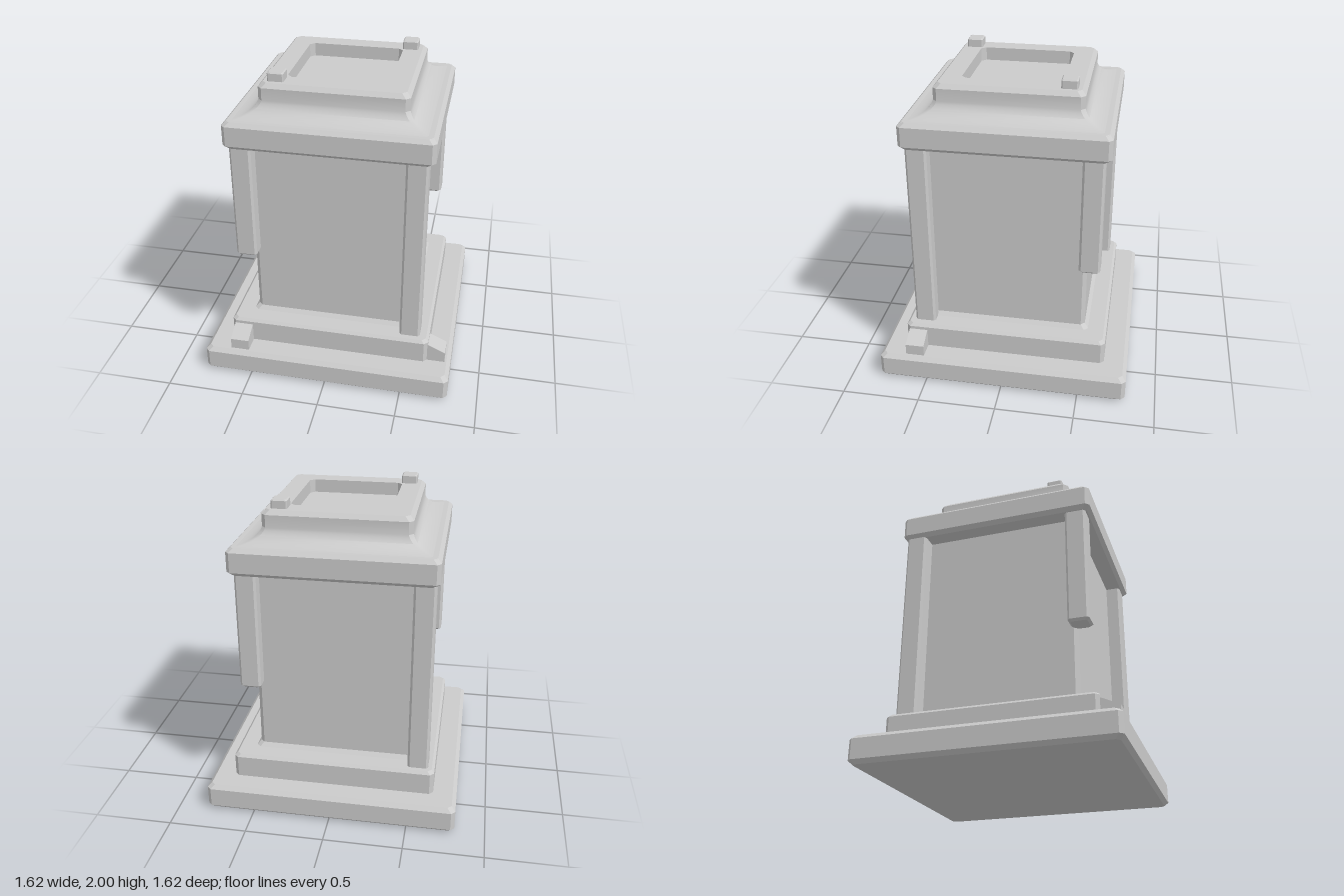
import * as THREE from 'three';
import { toCreasedNormals } from 'three/addons/utils/BufferGeometryUtils.js';

const material = new THREE.MeshStandardMaterial({ color: 0xcccccc });

// Stack of square rings with clipped corners; each ring is [half width, corner clip, y], bottom to top.
function loft(name, rings, x = 0, z = 0) {
  const pos = [], index = [];
  for (const [h, c, y] of rings) {
    const k = h - c;
    for (const [px, pz] of [[h, -k], [h, k], [k, h], [-k, h], [-h, k], [-h, -k], [-k, -h], [k, -h]]) {
      pos.push(px, y, pz);
    }
  }
  const last = (rings.length - 1) * 8;
  for (let r = 0; r < last; r += 8) {
    for (let i = 0; i < 8; i++) {
      const a = r + i, b = r + (i + 1) % 8;
      index.push(a, a + 8, b, b, a + 8, b + 8);
    }
  }
  // End caps
  for (let i = 1; i < 7; i++) {
    index.push(0, i, i + 1, last, last + i + 1, last + i);
  }
  const geo = new THREE.BufferGeometry();
  geo.setAttribute('position', new THREE.Float32BufferAttribute(pos, 3));
  geo.setIndex(index);
  const mesh = new THREE.Mesh(toCreasedNormals(geo, 0.5), material);
  mesh.name = name;
  mesh.position.set(x, 0, z);
  return mesh;
}

// Square block with bevelled edges
function block(name, half, y0, y1, bevel, x, z) {
  return loft(name, [
    [half - bevel, bevel, y0], [half, bevel, y0 + bevel],
    [half, bevel, y1 - bevel], [half - bevel, bevel, y1],
  ], x, z);
}

// Small sloped foot leaning against the plinth, running out along +z
function foot(name) {
  const side = new THREE.Shape([[0.6, 0.17], [0.77, 0.17], [0.77, 0.247], [0.66, 0.298], [0.6, 0.298]]
    .map(([a, b]) => new THREE.Vector2(a, b)));
  const geo = new THREE.ExtrudeGeometry(side, { depth: 0.12, bevelEnabled: false });
  geo.rotateY(-Math.PI / 2);
  geo.translate(-0.515, 0, 0);
  const mesh = new THREE.Mesh(geo, material);
  mesh.name = name;
  return mesh;
}

export function createModel() {
  const model = new THREE.Group();
  model.name = 'pedestal';

  // Stepped base
  model.add(block('baseSlab', 0.808, 0, 0.175, 0.025));
  model.add(loft('plinth', [[0.657, 0.025, 0.17], [0.657, 0.025, 0.318], [0.64, 0.025, 0.335]]));

  // Shaft with a flared foot
  model.add(loft('shaft', [[0.54, 0.025, 0.33], [0.512, 0.025, 0.36], [0.512, 0.025, 1.6]]));

  // Full-height pillars on two opposite corners, broken ones on the others
  model.add(block('pillarFrontLeft', 0.067, 0.32, 1.6, 0.014, 0.53, 0.54));
  model.add(block('pillarBackRight', 0.067, 0.32, 1.6, 0.014, -0.549, -0.544));
  model.add(block('shortPillarFrontRight', 0.067, 0.815, 1.6, 0.014, -0.54, 0.537));
  model.add(block('shortPillarBackLeft', 0.067, 0.815, 1.6, 0.014, 0.535, -0.532));

  // Overhanging cap
  model.add(block('cap', 0.637, 1.582, 1.755, 0.024));

  // Coved crown: concave curve, rim and sunken top
  const cove = new THREE.CubicBezierCurve(
    new THREE.Vector2(0.612, 1.752), new THREE.Vector2(0.53, 1.757),
    new THREE.Vector2(0.475, 1.78), new THREE.Vector2(0.457, 1.84));
  const rings = cove.getPoints(10).map((p, i) => [p.x, 0.012 + 0.0015 * i, p.y]);
  rings.push([0.457, 0.027, 1.918], [0.432, 0.027, 1.945], [0.31, 0.03, 1.945], [0.31, 0.03, 1.86]);
  model.add(loft('crown', rings));

  // Two studs on the rim
  for (const s of [1, -1]) {
    model.add(block(s > 0 ? 'studLeft' : 'studRight', 0.05, 1.93, 2, 0.007, s * 0.356, s * -0.357));
  }

  // Feet on the base slab, front and left
  const frontFoot = foot('frontFoot');
  const leftFoot = foot('leftFoot');
  leftFoot.rotation.y = Math.PI / 2;
  leftFoot.scale.x = -1; // mirrored to sit near the back corner
  leftFoot.geometry.translate(1.15, 0, 0);
  model.add(frontFoot, leftFoot);

  return model;
}
